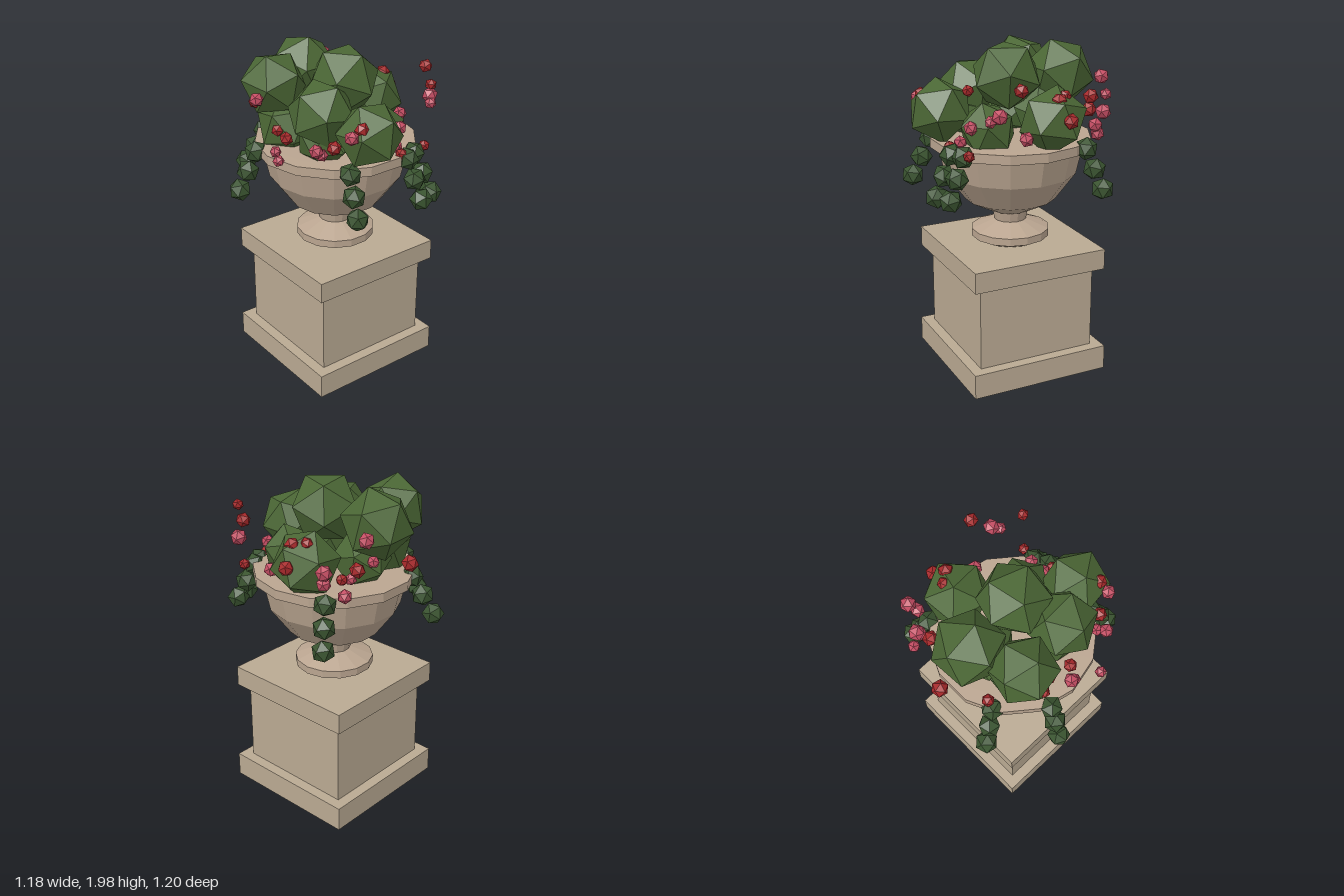
import * as THREE from 'three';

const mat = (name, color, extra = {}) =>
  Object.assign(new THREE.MeshStandardMaterial({ color, flatShading: true, ...extra }), { name });

export function createModel() {
  const model = new THREE.Group();
  model.name = 'flowerUrnOnPlinth';
  const stone = mat('plinthStone', 0xb9a992);
  const urnStone = mat('urnStone', 0xbaa590, { side: THREE.DoubleSide });
  const leaf = mat('leafGreen', 0x4b6735);
  const vine = mat('vineGreen', 0x3a5430);
  const red = mat('redPetals', 0xa8292b);
  const pink = mat('pinkPetals', 0xc44d63);
  const CX = 0.03, CZ = -0.01;

  // small seeded generator for clump rotations
  let seed = 11;
  const rand = () => (seed = (seed * 16807) % 2147483647) / 2147483647;

  const add = (parent, name, geo, material, x, y, z) => {
    const m = new THREE.Mesh(geo, material);
    m.name = name;
    m.position.set(x, y, z);
    parent.add(m);
    return m;
  };
  const group = (name) => {
    const g = new THREE.Group();
    g.name = name;
    model.add(g);
    return g;
  };
  const ball = (parent, name, material, [x, y, z, r]) =>
    add(parent, name, new THREE.IcosahedronGeometry(r, 0), material, x, y, z)
      .rotation.set(rand() * 6.28, rand() * 6.28, rand() * 6.28);

  // square plinth: base, shaft, cap
  const plinth = group('plinth');
  for (const [name, w, y0, y1] of [
    ['plinthBase', 0.866, 0, 0.15],
    ['plinthShaft', 0.735, 0.15, 0.66],
    ['plinthCap', 0.84, 0.66, 0.785],
  ]) add(plinth, name, new THREE.BoxGeometry(w, y1 - y0, w), stone, CX, (y0 + y1) / 2, CZ);

  // turned fourteen-sided urn
  const profile = [
    [0, 0.785], [0.16, 0.785], [0.236, 0.82], [0.236, 0.865], [0.11, 0.915],
    [0.097, 0.92], [0.11, 0.985], [0.13, 0.985], [0.275, 1.06], [0.395, 1.225],
    [0.432, 1.39], [0.478, 1.39], [0.478, 1.445], [0.4, 1.445], [0, 1.435],
  ].map(([r, y]) => new THREE.Vector2(r, y));
  add(model, 'urn', new THREE.LatheGeometry(profile, 14, Math.PI / 2), urnStone, CX, 0, CZ);

  // large leafy clumps
  const foliage = group('foliage');
  [
    [0.06, 1.8, 0.03, 0.212], [0.03, 1.78, -0.33, 0.21], [-0.26, 1.78, -0.21, 0.195],
    [-0.19, 1.69, 0.15, 0.2], [0.37, 1.59, -0.11, 0.2], [-0.05, 1.61, 0.4, 0.195],
    [0.17, 1.52, 0.2, 0.17], [-0.2, 1.53, -0.16, 0.19], [0.03, 1.55, -0.22, 0.18],
    [-0.16, 1.53, 0.14, 0.17],
  ].forEach((c) => ball(foliage, 'leafClump', leaf, c));

  // trailing vines hanging over the rim: top point, bottom point
  const vines = group('trailingVines');
  for (const [x0, z0, x1, z1] of [
    [-0.43, -0.16, -0.53, -0.19], [-0.21, -0.4, -0.275, -0.515], [0.42, -0.3, 0.505, -0.365],
    [-0.19, 0.41, -0.22, 0.515], [0.2, 0.44, 0.225, 0.54], [0.28, 0.4, 0.33, 0.5],
  ]) for (let i = 0; i < 3; i++) {
    const t = i / 2;
    ball(vines, 'vineLeaf', vine,
      [x0 + (x1 - x0) * t, 1.415 - 0.225 * t, z0 + (z1 - z0) * t, 0.068]);
  }

  // scattered blossoms: x, y, z, radius
  const flowers = group('flowers');
  [
    [0.02, 1.61, -0.56, 0.05], [0.27, 1.6, -0.4, 0.046], [0.25, 1.5, -0.27, 0.036],
    [-0.18, 1.5, -0.4, 0.038], [0.41, 1.73, -0.16, 0.038], [0.46, 1.72, -0.1, 0.046],
    [0.54, 1.62, -0.13, 0.046], [0.55, 1.82, 0.18, 0.042], [0.38, 1.81, 0.41, 0.034],
    [0.36, 1.44, 0.4, 0.034], [0.16, 1.45, 0.43, 0.036], [-0.16, 1.69, 0.47, 0.043],
    [-0.27, 1.58, 0.37, 0.042], [-0.36, 1.55, 0.05, 0.04], [-0.33, 1.55, -0.08, 0.038],
    [-0.4, 1.7, -0.2, 0.036],
  ].forEach((f) => ball(flowers, 'redFlower', red, f));
  [
    [0.28, 1.79, -0.47, 0.047], [0.27, 1.68, -0.51, 0.036], [0.37, 1.48, -0.4, 0.042],
    [0.49, 1.64, -0.36, 0.048], [0.46, 1.56, -0.33, 0.044], [0.44, 1.52, 0.09, 0.044],
    [0.5, 1.68, 0.28, 0.048], [0.47, 1.65, 0.32, 0.036], [0.23, 1.56, 0.33, 0.043],
    [0.17, 1.47, 0.37, 0.04], [-0.23, 1.66, 0.47, 0.042], [-0.36, 1.57, 0.33, 0.042],
    [-0.31, 1.53, 0.31, 0.038], [-0.49, 1.49, 0.16, 0.034], [-0.42, 1.48, 0.03, 0.034],
    [-0.47, 1.77, -0.07, 0.042], [0.21, 1.5, -0.3, 0.036],
  ].forEach((f) => ball(flowers, 'pinkFlower', pink, f));

  return model;
}
